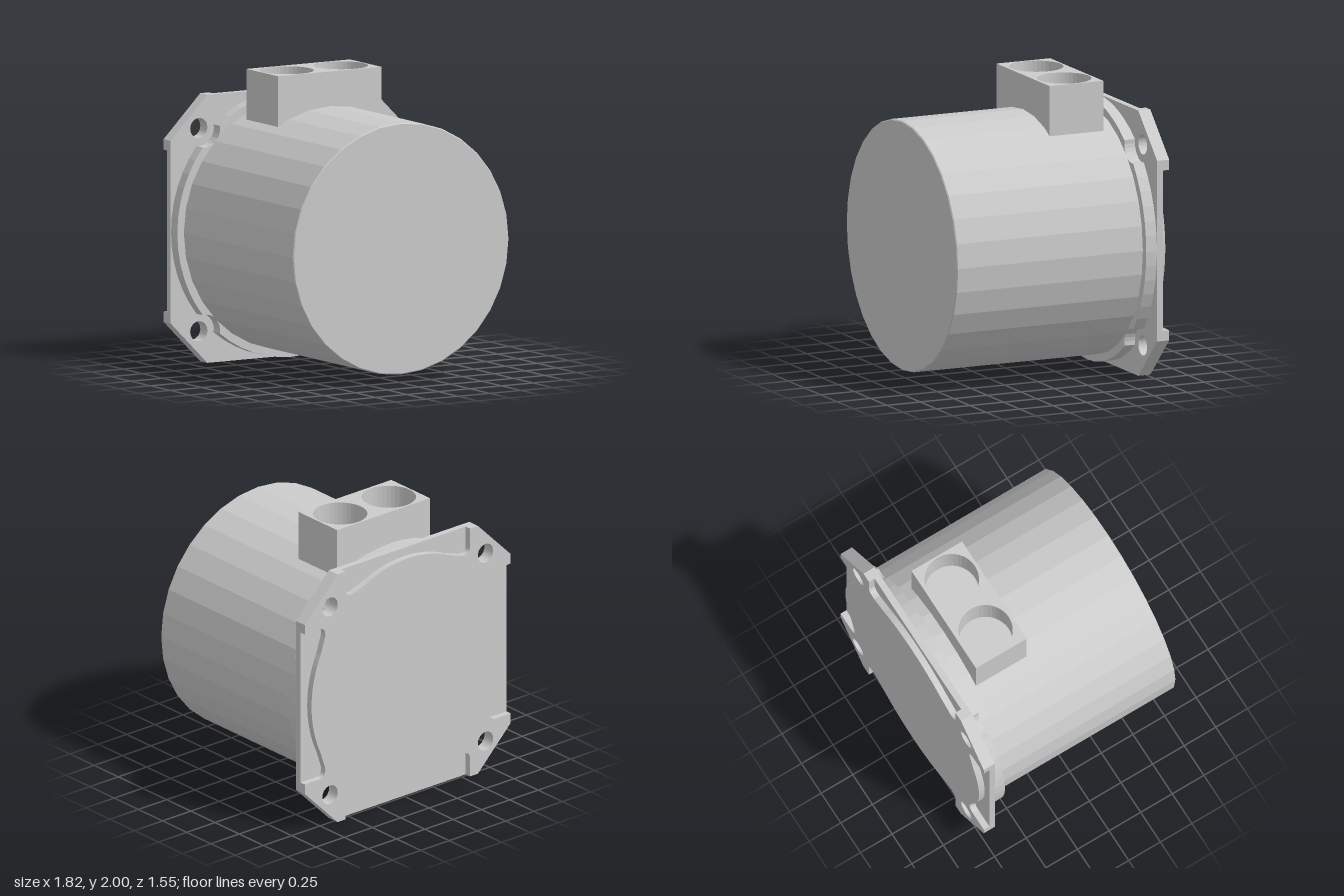
import * as THREE from 'three';

const CY = 0.91; // height of the main axis

export function createModel() {
  const group = new THREE.Group();
  const material = new THREE.MeshStandardMaterial({ color: 0xcccccc, flatShading: true });
  const add = (name, geometry, x = 0, y = 0, z = 0) => {
    const mesh = new THREE.Mesh(geometry, material);
    mesh.name = name;
    mesh.position.set(x, y, z);
    group.add(mesh);
    return mesh;
  };
  const circle = (x, y, r) => new THREE.Path().absarc(x, y, r, 0, Math.PI * 2, true);
  const extrude = (shape, depth, curveSegments = 12) =>
    new THREE.ExtrudeGeometry(shape, { depth, bevelEnabled: false, curveSegments });

  // Repeats one quarter of an outline around the axis
  const quarters = (points) => {
    const all = [];
    for (let k = 0; k < 4; k++) {
      for (const p of points) all.push(p.clone().rotateAround(new THREE.Vector2(), k * Math.PI / 2));
    }
    return new THREE.Shape(all);
  };
  const drillBolts = (shape) => {
    for (const x of [-0.687, 0.687]) for (const y of [-0.69, 0.69]) shape.holes.push(circle(x, y, 0.068));
    return shape;
  };

  // Drum body with a tiny chamfer at the front
  const drum = new THREE.LatheGeometry([
    [0, -0.65], [0.855, -0.65], [0.855, 0.768], [0.848, 0.775], [0, 0.775],
  ].map(([r, h]) => new THREE.Vector2(r, h)), 32);
  drum.rotateX(Math.PI / 2);
  add('drumBody', drum, 0, CY, 0);

  // Mounting plate with cut corners
  const octagon = quarters([new THREE.Vector2(0.62, 0.91), new THREE.Vector2(-0.62, 0.91)]);
  add('mountingPlate', extrude(drillBolts(octagon), 0.045), 0, CY, -0.735);

  // Rear layer: raised disc and corners, with a crescent recess along each edge
  const side = new THREE.Path();
  const a = Math.atan2(0.77, 0.36);
  side.moveTo(0.62, 0.91);
  side.lineTo(0.55, 0.91);
  side.lineTo(0.55, 0.78);
  side.quadraticCurveTo(0.55, 0.72, 0.48, 0.73);
  side.lineTo(0.36, 0.77);
  side.absarc(0, 0, 0.85, a, Math.PI - a, false);
  side.lineTo(-0.48, 0.73);
  side.quadraticCurveTo(-0.55, 0.72, -0.55, 0.78);
  side.lineTo(-0.55, 0.91);
  side.lineTo(-0.62, 0.91);
  add('rearLayer', extrude(drillBolts(quarters(side.getPoints(8))), 0.045), 0, CY, -0.78);

  // Front collar, scalloped around the bolt holes
  const R = 0.907, bolt = 0.97, scallop = 0.118;
  const half = Math.acos((R * R + bolt * bolt - scallop * scallop) / (2 * R * bolt));
  const turn = Math.atan2(R * Math.sin(half), R * Math.cos(half) - bolt);
  const arc = [];
  for (let i = 0; i <= 8; i++) { // scallop, centred on the diagonal
    const t = -turn - (2 * Math.PI - 2 * turn) * i / 8;
    arc.push(new THREE.Vector2(bolt + scallop * Math.cos(t), scallop * Math.sin(t)));
  }
  for (let i = 1; i < 12; i++) { // rim up to the next scallop
    const t = half + (Math.PI / 2 - 2 * half) * i / 12;
    arc.push(new THREE.Vector2(R * Math.cos(t), R * Math.sin(t)));
  }
  arc.forEach((p) => p.rotateAround(new THREE.Vector2(), Math.PI / 4));
  add('frontCollar', extrude(quarters(arc), 0.082), 0, CY, -0.692);

  // Connector block with two round sockets
  const outline = new THREE.Shape([[-0.41, 0.13], [0.41, 0.13], [0.41, 0.53], [-0.41, 0.53]]
    .map(([x, y]) => new THREE.Vector2(x, y)));
  for (const x of [-0.215, 0.215]) outline.holes.push(circle(x, 0.333, 0.183));
  const sockets = extrude(outline, 0.23, 20);
  sockets.rotateX(-Math.PI / 2);
  add('connectorSockets', sockets, 0, 1.77, 0);
  add('connectorBase', new THREE.BoxGeometry(0.82, 0.25, 0.4), 0, 1.645, -0.33);

  return group;
}
